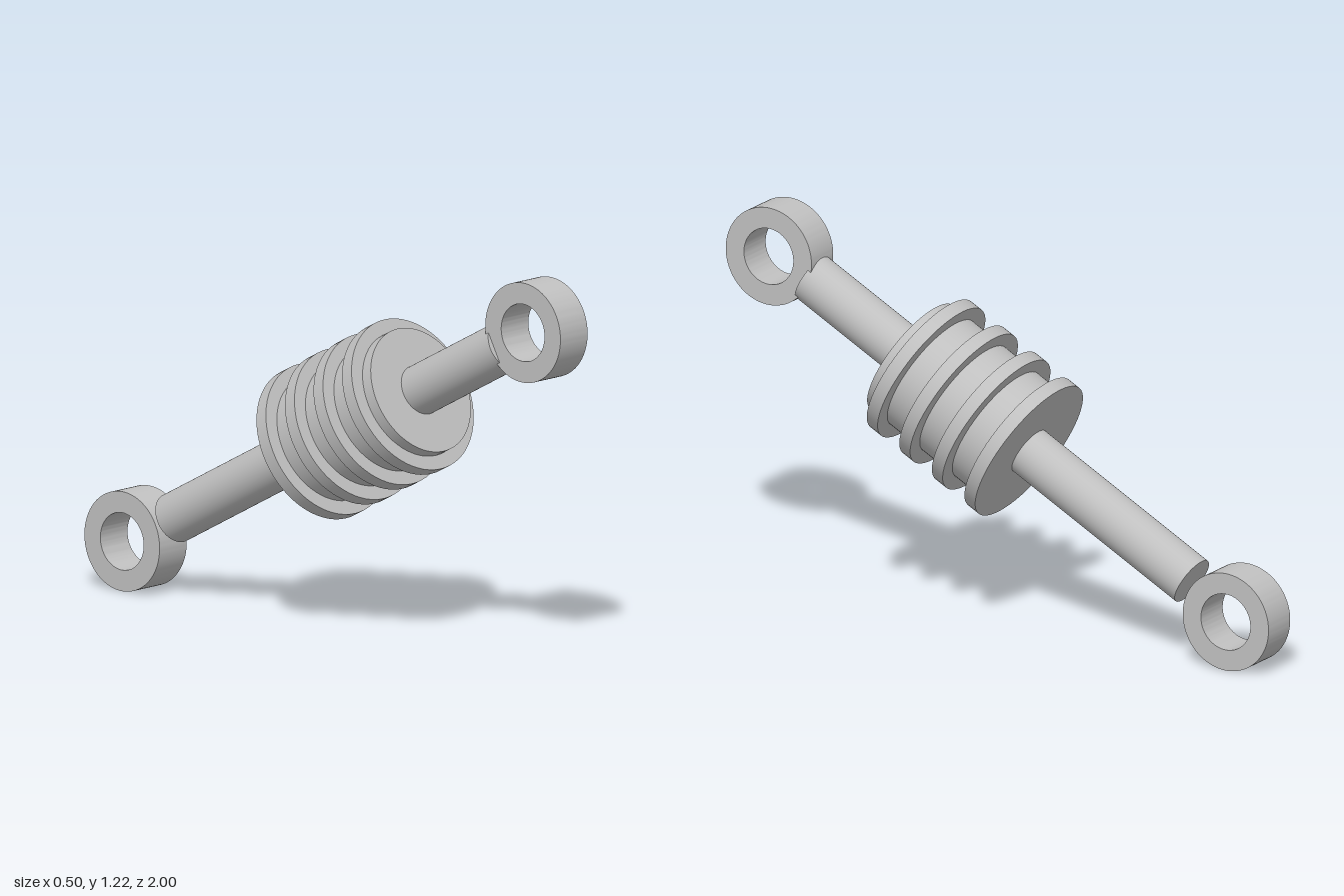
import * as THREE from 'three';
import { toCreasedNormals } from 'three/addons/utils/BufferGeometryUtils.js';

const metal = new THREE.MeshStandardMaterial({ color: 0xc0c0c0 });
metal.name = 'grey metal';

// cylinder along the strut axis, between two stations
function rod(name, radius, from, to) {
  const mesh = new THREE.Mesh(new THREE.CylinderGeometry(radius, radius, to - from, 64), metal);
  mesh.position.y = (from + to) / 2;
  mesh.name = name;
  return mesh;
}

// flat ring whose hole runs along x
function eyelet(name, y) {
  const width = 0.125;
  const shape = new THREE.Shape().absarc(0, 0, 0.158, 0, Math.PI * 2);
  shape.holes.push(new THREE.Path().absarc(0, 0, 0.091, 0, Math.PI * 2, true));
  let geo = new THREE.ExtrudeGeometry(shape, { depth: width, bevelEnabled: false, curveSegments: 64 });
  geo.translate(0, 0, -width / 2);
  geo.rotateY(Math.PI / 2);
  geo = toCreasedNormals(geo, 0.6);
  const mesh = new THREE.Mesh(geo, metal);
  mesh.position.y = y;
  mesh.name = name;
  return mesh;
}

export function createModel() {
  const model = new THREE.Group();
  model.name = 'insulatorStrut';

  // everything is built along y, then tilted towards the front
  const strut = new THREE.Group();
  strut.name = 'strut';
  strut.position.y = 0.608;
  strut.rotation.x = Math.atan2(0.842, 0.45);
  model.add(strut);

  strut.add(rod('shaft', 0.08, -0.768, 0.818));
  strut.add(rod('core', 0.205, -0.07, 0.404));

  // cooling discs
  for (let i = 0; i < 4; i++) {
    const start = -0.088 + i * 0.136;
    strut.add(rod('disc' + (i + 1), 0.25, start, start + 0.045));
  }

  // mounting eyes at both ends
  strut.add(eyelet('upperEyelet', 0.955));
  strut.add(eyelet('lowerEyelet', -0.955));
  return model;
}
